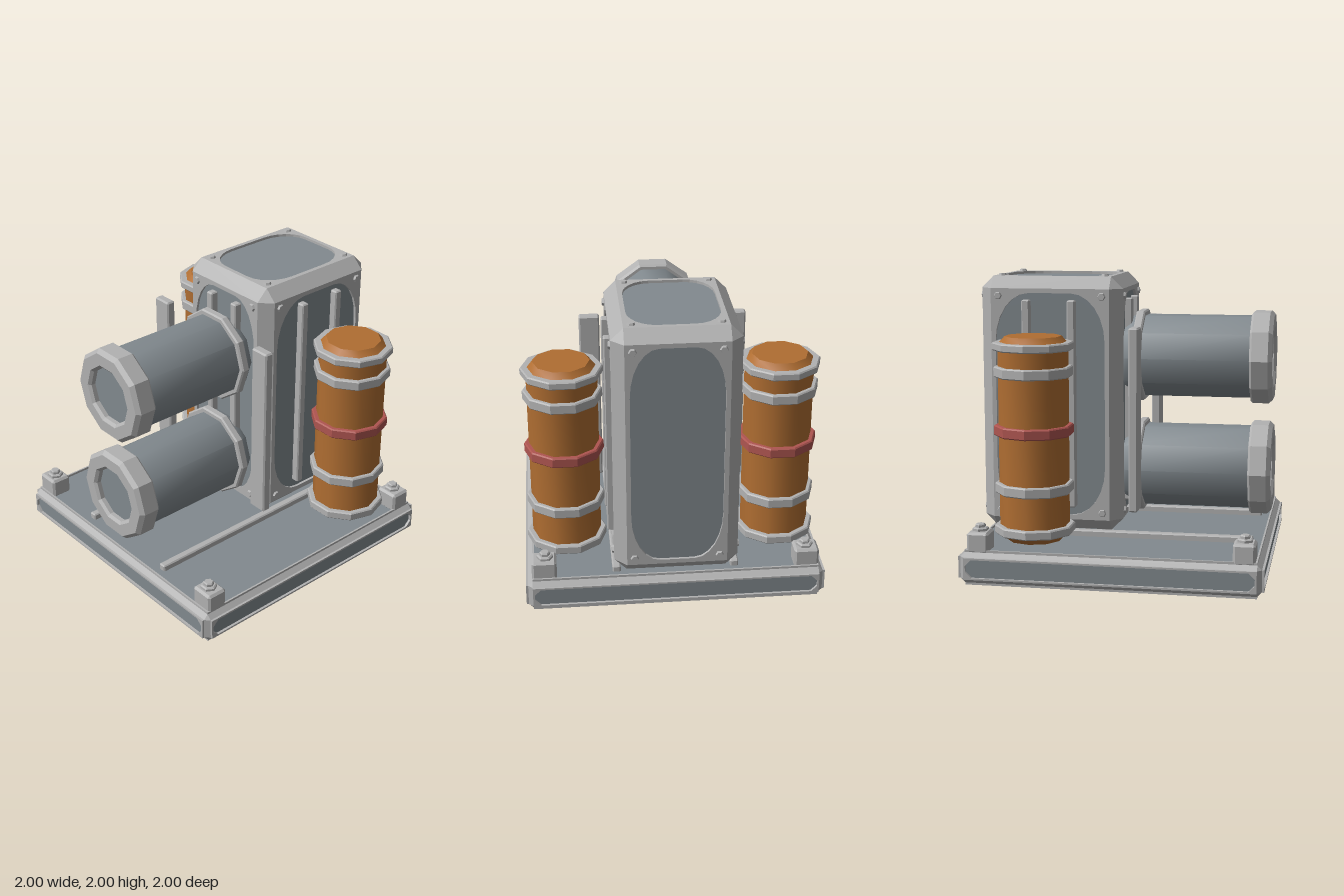
import * as THREE from 'three';
import { toCreasedNormals } from 'three/addons/utils/BufferGeometryUtils.js';
import { ConvexGeometry } from 'three/addons/geometries/ConvexGeometry.js';

const paint = (name, color) => Object.assign(new THREE.MeshStandardMaterial({ color }), { name });
const V = (x, y, z) => new THREE.Vector3(x, y, z);

export function createModel() {
  const light = paint('lightMetal', 0xb2b2b2);
  const dark = paint('greyMetal', 0x828a8f);
  const orange = paint('orangePaint', 0xb06e32);
  const red = paint('redBand', 0xae5550);
  const model = new THREE.Group();

  function add(parent, name, geometry, material, x = 0, y = 0, z = 0) {
    const mesh = new THREE.Mesh(geometry, material);
    mesh.name = name;
    mesh.position.set(x, y, z);
    parent.add(mesh);
    return mesh;
  }

  // Ten-sided turned part, corners on the x axis; flat or softly shaded around
  function turned(profile, flat = true, sides = 10) {
    const pts = profile.map(([r, y]) => new THREE.Vector2(r, y));
    return toCreasedNormals(new THREE.LatheGeometry(pts, sides, Math.PI / 2), flat ? 0.1 : 0.7);
  }

  // Closed band with a small bevel
  const band = (r, y0, y1, b = 0.008) => turned([[0, y0], [r - b, y0], [r, y0 + b], [r, y1 - b], [r - b, y1], [0, y1]]);

  // The three corner points left where a box corner is cut off
  function cornerPoints(h, c, s) {
    return [0, 1, 2].map(a => V(...[0, 1, 2].map(k => s[k] * (h[k] - (k === a ? 0 : c)))));
  }

  // Box with cut edges
  function cutBox(w, h, d, c) {
    const pts = [];
    for (const x of [-1, 1]) for (const y of [-1, 1]) for (const z of [-1, 1]) {
      pts.push(...cornerPoints([w / 2, h / 2, d / 2], c, [x, y, z]));
    }
    return new ConvexGeometry(pts);
  }

  // Bevelled strips along the twelve edges and eight corners of a box
  function edgeStrips(h, c) {
    const out = [];
    const tri = (p, q, r) => {
      const n = q.clone().sub(p).cross(r.clone().sub(p));
      const outward = n.dot(p.clone().add(q).add(r)) > 0;
      for (const v of outward ? [p, q, r] : [p, r, q]) out.push(v.x, v.y, v.z);
    };
    for (const x of [-1, 1]) for (const y of [-1, 1]) for (const z of [-1, 1]) tri(...cornerPoints(h, c, [x, y, z]));
    for (let k = 0; k < 3; k++) {
      const i = (k + 1) % 3, j = (k + 2) % 3;
      for (const si of [-1, 1]) for (const sj of [-1, 1]) {
        const s = [0, 0, 0];
        s[i] = si; s[j] = sj;
        s[k] = -1;
        const a = cornerPoints(h, c, s);
        s[k] = 1;
        const b = cornerPoints(h, c, s);
        tri(a[i], b[i], b[j]);
        tri(a[i], b[j], a[j]);
      }
    }
    const g = new THREE.BufferGeometry();
    g.setAttribute('position', new THREE.Float32BufferAttribute(out, 3));
    g.computeVertexNormals();
    return g;
  }

  // Rectangle whose corners are elliptical arcs of a few steps
  function roundedPoints(hw, hh, rx, ry, steps) {
    const pts = [];
    for (let q = 0; q < 4; q++) {
      const sx = q === 0 || q === 3 ? 1 : -1, sy = q < 2 ? 1 : -1;
      for (let i = 0; i <= steps; i++) {
        const a = (q + i / steps) * Math.PI / 2;
        pts.push(new THREE.Vector2(sx * (hw - rx) + rx * Math.cos(a), sy * (hh - ry) + ry * Math.sin(a)));
      }
    }
    return pts;
  }

  const X = V(1, 0, 0), Y = V(0, 1, 0), Z = V(0, 0, 1);
  const faces = [
    ['front', X, Y], ['back', X.clone().negate(), Y],
    ['left', Z.clone().negate(), Y], ['right', Z, Y],
    ['top', X, Z.clone().negate()], ['bottom', X, Z],
  ];

  // Bevelled box: a light frame around a sunken grey panel on every face
  function panelBox(name, h, c, rise, depth, opening, rivets) {
    const group = new THREE.Group();
    group.name = name;
    add(group, name + 'Edges', edgeStrips(h, c), light);
    const half = V(...h);
    const size = v => Math.abs(v.dot(half));
    for (const [side, u, v] of faces) {
      const n = u.clone().cross(v);
      const face = new THREE.Group();
      face.name = side + 'Face';
      const hw = Math.abs(u.x) * h[0] + Math.abs(u.z) * h[2] - c;
      const hh = size(v) - c;
      face.applyMatrix4(new THREE.Matrix4().makeBasis(u, v, n));
      face.position.copy(n).multiplyScalar(size(n));
      group.add(face);
      const hole = roundedPoints(...opening(hw, hh));
      const frame = new THREE.Shape([[-1, -1], [1, -1], [1, 1], [-1, 1]].map(p => new THREE.Vector2(p[0] * hw, p[1] * hh)));
      frame.holes.push(new THREE.Path(hole));
      add(face, 'frame', new THREE.ExtrudeGeometry(frame, { depth: depth + rise, bevelEnabled: false }), light, 0, 0, -depth);
      add(face, 'panel', new THREE.ShapeGeometry(new THREE.Shape(hole)), dark, 0, 0, -depth + 0.002);
      if (!rivets) continue;
      for (const sx of [-1, 1]) for (const sy of [-1, 1]) {
        const g = turned([[0.028, 0], [0.022, 0.014], [0, 0.014]], true, 6).rotateX(Math.PI / 2);
        add(face, 'rivet', g, light, sx * (hw - 0.05), sy * (hh - 0.05), 0);
      }
    }
    model.add(group);
    return group;
  }

  // Base slab
  panelBox('base', [0.985, 0.1025, 0.985], 0.03, 0.015, 0.004,
    (w, h) => [w - 0.012, h - 0.012, 0.04, 0.04, 1], false).position.set(0, 0.1175, 0);

  // Central tower
  panelBox('tower', [0.41, 0.8675, 0.485], 0.08, 0, 0.02,
    (w, h) => [w - 0.03, h - 0.03, (w - 0.03) * 0.62, Math.min(0.33, h * 0.55), 6], true).position.set(0, 1.1175, -0.5);

  for (const s of [-1, 1]) {
    // Rails on the tower front and sides, and on the base
    add(model, 'frontRail', cutBox(0.055, 1.41, 0.06, 0.008), light, s * 0.12, 1.125, -0.012);
    for (const z of [-0.66, -0.35]) add(model, 'sideRail', cutBox(0.06, 1.41, 0.055, 0.008), light, s * 0.413, 1.125, z);
    add(model, 'baseRail', cutBox(0.055, 0.05, 1.77, 0.008), light, s * 0.395, 0.235, 0);

    // Upright fins beside the barrels
    add(model, 'fin', cutBox(0.14, 1.23, 0.065, 0.01), light, s * 0.505, 1.05, 0.095);

    // Corner blocks with bolts
    for (const z of [-0.87, 0.87]) {
      add(model, 'cornerBlock', cutBox(0.165, 0.14, 0.145, 0.015), light, s * 0.875, 0.28, z);
      add(model, 'boltWasher', turned([[0.055, 0.34], [0.055, 0.365], [0.045, 0.372], [0, 0.372]], true, 6), light, s * 0.868, 0, z);
      add(model, 'boltHead', turned([[0.035, 0.37], [0.035, 0.388], [0.028, 0.395], [0, 0.395]], true, 6), light, s * 0.868, 0, z);
    }

    // Banded side canisters
    const can = new THREE.Group();
    can.name = 'canister';
    can.position.set(s * 0.71, 0, -0.54);
    model.add(can);
    add(can, 'canisterBody', turned([[0, 0.27], [0.185, 0.27], [0.231, 0.316], [0.231, 1.572], [0.185, 1.62], [0, 1.62]], false), orange);
    for (const [r, y0, y1] of [[0.268, 0.315, 0.375], [0.26, 0.588, 0.658], [0.26, 1.355, 1.425], [0.268, 1.53, 1.583]]) {
      add(can, 'canisterRing', band(r, y0, y1), light);
    }
    add(can, 'redRing', band(0.262, 0.97, 1.04), red);
  }

  // Two horizontal barrels on the front
  for (const y of [0.66, 1.43]) {
    const barrel = new THREE.Group();
    barrel.name = 'barrel';
    barrel.position.set(0, y, 0);
    barrel.rotation.x = Math.PI / 2;
    model.add(barrel);
    add(barrel, 'barrelBody', turned([[0.255, -0.04], [0.289, 0.02], [0.289, 0.86]], false), dark);
    add(barrel, 'barrelFlange', band(0.325, 0.04, 0.1, 0.01), light);
    add(barrel, 'barrelRim', turned([
      [0.28, 0.83], [0.31, 0.83], [0.325, 0.845], [0.325, 0.955], [0.298, 0.982], [0.215, 0.982], [0.195, 0.965], [0.195, 0.93],
    ]), light);
    add(barrel, 'barrelEnd', turned([[0.2, 0.935], [0, 0.935]]), dark);
  }
  return model;
}
